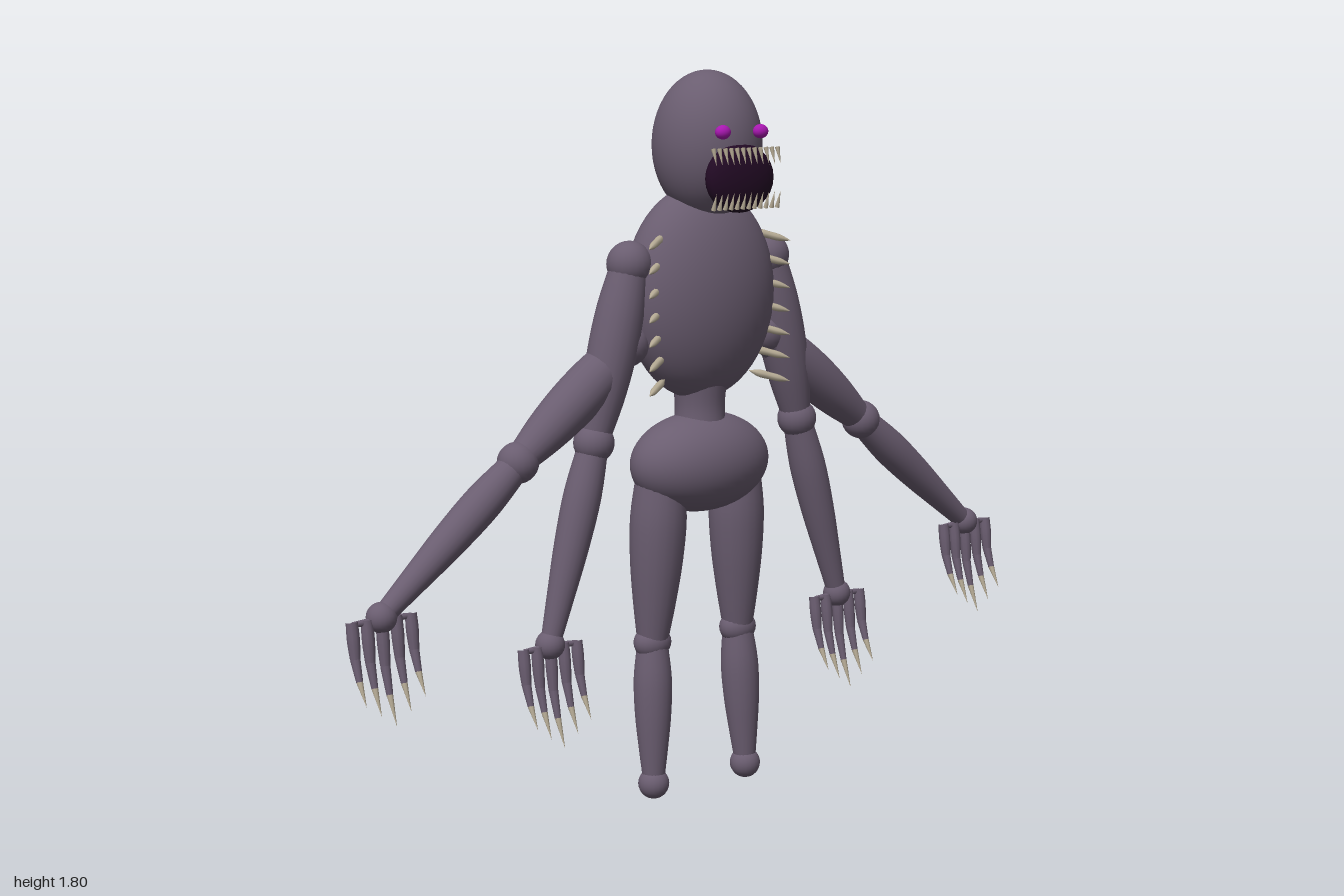
import * as THREE from 'three';

const mat = (name, color) => Object.assign(new THREE.MeshStandardMaterial({ color }), { name });
const V = (x, y, z) => new THREE.Vector3(x, y, z);
const UP = V(0, 1, 0);

export function createModel() {
  const root = new THREE.Group();
  root.name = 'creature';
  const skin = mat('dusky skin', 0x6a5d70);
  const bone = mat('bone', 0xb5aa94);
  const maw = mat('dark maw', 0x220a24);
  const glow = mat('purple eye', 0xa818b0);

  const add = (parent, name, geometry, material) => {
    const mesh = new THREE.Mesh(geometry, material);
    mesh.name = name;
    parent.add(mesh);
    return mesh;
  };
  const group = (name) => {
    const g = new THREE.Group();
    g.name = name;
    root.add(g);
    return g;
  };
  const ball = (parent, name, p, rx, ry = rx, rz = rx, material = skin) => {
    const segs = rx > 0.1 ? 40 : 20;
    const mesh = add(parent, name, new THREE.SphereGeometry(1, segs, segs * 0.7), material);
    mesh.position.copy(p);
    mesh.scale.set(rx, ry, rz);
    return mesh;
  };
  // Round tapering limb from a to b with radii evenly spaced along it
  const limb = (parent, name, a, b, radii, material = skin, sides = 20) => {
    const length = a.distanceTo(b);
    const curve = new THREE.SplineCurve(
      radii.map((r, i) => new THREE.Vector2(r, (i / (radii.length - 1)) * length)));
    const points = radii.length > 2 ? curve.getPoints(16) : curve.points;
    points.forEach((p) => { p.x = Math.max(p.x, 0); });
    const mesh = add(parent, name, new THREE.LatheGeometry(points, sides), material);
    mesh.position.copy(a);
    mesh.quaternion.setFromUnitVectors(UP, b.clone().sub(a).normalize());
    return mesh;
  };

  // Body
  ball(root, 'torso', V(0, 1.265, -0.03), 0.21, 0.265, 0.13);
  limb(root, 'waist', V(0, 0.9, -0.03), V(0, 1.06, -0.03), [0.07, 0.062, 0.07]);
  ball(root, 'pelvis', V(0, 0.843, -0.03), 0.195, 0.125, 0.125);

  // Head, eyes and open mouth
  const head = group('head');
  ball(head, 'skull', V(0, 1.625, 0), 0.133, 0.18, 0.138);
  ball(head, 'mouth', V(0, 1.55, 0.127), 0.1, 0.083, 0.038, maw);
  for (const s of [-1, 1]) ball(head, 'eye', V(s * 0.057, 1.66, 0.135), 0.02, 0.017, 0.017, glow);
  for (let i = 0; i < 12; i++) {
    const x = -0.097 + (i * 0.194) / 11;
    limb(head, 'upperTooth', V(x, 1.622, 0.15), V(x, 1.582, 0.163), [0.006, 0], bone, 6);
    limb(head, 'lowerTooth', V(x, 1.478, 0.15), V(x, 1.518, 0.163), [0.006, 0], bone, 6);
  }

  // Five long clawed fingers hanging from a wrist
  const hand = (parent, w) => {
    for (let i = -2; i <= 2; i++) {
      const x = w.x + i * 0.0385;
      const k = 1 - Math.abs(i) * 0.12;
      const top = V(x, w.y, w.z);
      const knuckle = V(x, w.y - 0.11 * k, w.z + 0.012);
      const tipBase = V(x, w.y - 0.175 * k, w.z + 0.03);
      const tip = V(x, w.y - 0.245 * k, w.z + 0.06);
      limb(parent, 'finger', top, knuckle, [0.014, 0.015, 0.012], skin, 10);
      limb(parent, 'fingertip', knuckle, tipBase, [0.012, 0.008], skin, 10);
      limb(parent, 'claw', tipBase, tip, [0.008, 0], bone, 8);
    }
    limb(parent, 'palm', V(w.x - 0.078, w.y - 0.006, w.z), V(w.x + 0.078, w.y - 0.006, w.z),
      [0.006, 0.01, 0.006], skin, 10);
  };

  const arm = (name, shoulder, elbow, wrist, shoulderRadius) => {
    const g = group(name);
    ball(g, 'shoulder', shoulder, shoulderRadius);
    limb(g, 'upperArm', shoulder, elbow, [0.045, 0.058, 0.06, 0.052, 0.035]);
    ball(g, 'elbow', elbow, 0.05);
    limb(g, 'forearm', elbow, wrist, [0.036, 0.046, 0.043, 0.034, 0.024]);
    ball(g, 'wrist', wrist, 0.036);
    hand(g, wrist);
  };

  for (const s of [-1, 1]) {
    const side = s > 0 ? 'left' : 'right';

    // Two arms on each side
    arm(side + 'InnerArm', V(s * 0.212, 1.345, -0.03), V(s * 0.317, 0.92, -0.035),
      V(s * 0.453, 0.443, -0.03), 0.056);
    arm(side + 'OuterArm', V(s * 0.215, 1.15, -0.04), V(s * 0.535, 0.895, -0.035),
      V(s * 0.912, 0.578, -0.032), 0.055);

    // Leg
    const leg = group(side + 'Leg');
    const hip = V(s * 0.118, 0.82, -0.035);
    const knee = V(s * 0.135, 0.397, -0.048);
    const foot = V(s * 0.146, 0.039, -0.03);
    limb(leg, 'thigh', hip, knee, [0.06, 0.07, 0.066, 0.054, 0.038]);
    ball(leg, 'knee', knee, 0.05, 0.042, 0.042);
    limb(leg, 'calf', knee, foot, [0.038, 0.048, 0.046, 0.037, 0.026]);
    ball(leg, 'foot', foot, 0.039);

    // Rib spikes poking out of the flank
    for (let i = 0; i < 7; i++) {
      const y = 1.385 - i * 0.0585;
      limb(root, side + 'Rib', V(s * 0.13, y + 0.028, 0), V(s * 0.218, y, 0.057),
        [0, 0.009, 0.009, 0.008, 0], bone, 8);
    }
  }
  return root;
}
